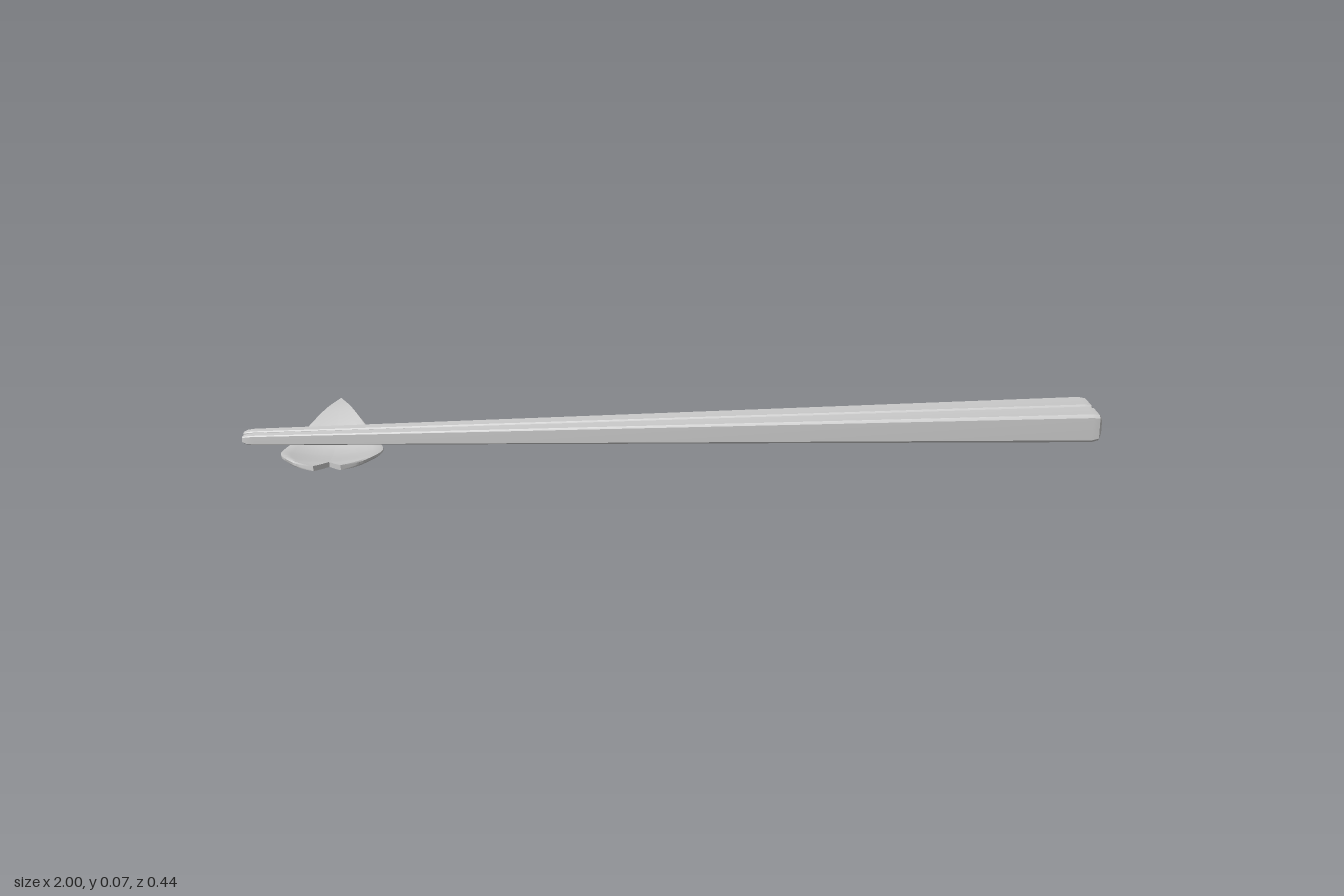
import * as THREE from 'three';
import { toCreasedNormals } from 'three/addons/utils/BufferGeometryUtils.js';

const material = new THREE.MeshStandardMaterial({ color: 0xcccccc });

// Skins a row of equal closed rings of [x, y, z] points, capping both ends
function loft(rings, crease, skipSeam = false) {
  const n = rings[0].length;
  const index = [];
  for (let i = 0; i < rings.length - 1; i++) {
    for (let k = 0; k < n; k++) {
      const k2 = (k + 1) % n;
      const a = i * n + k, b = a + n, c = (i + 1) * n + k2, d = i * n + k2;
      // No wall along the centre line where two mirrored halves meet
      const seam = [rings[i][k], rings[i][k2], rings[i + 1][k], rings[i + 1][k2]]
        .every((p) => Math.abs(p[0]) < 1e-4);
      if (!(skipSeam && seam)) index.push(a, b, c, a, c, d);
    }
  }
  const last = (rings.length - 1) * n;
  for (let k = 1; k < n - 1; k++) {
    index.push(0, k, k + 1, last, last + k + 1, last + k);
  }
  const geometry = new THREE.BufferGeometry();
  geometry.setAttribute('position', new THREE.Float32BufferAttribute(rings.flat(2), 3));
  geometry.setIndex(index);
  return toCreasedNormals(geometry, crease);
}

// Tapered square stick with chamfered edges and rounded-off ends
function chopstick(side) {
  const stations = [[-1, 0.55], [-0.99, 0.88], [-0.975, 1], [0.97, 1], [0.987, 0.9], [0.995, 0.55]];
  const rings = stations.map(([x, scale]) => {
    const t = (x + 1) / 2;
    const h = THREE.MathUtils.lerp(0.011, 0.035, t) * scale;
    const c = h * 0.8;
    const y = THREE.MathUtils.lerp(0.055, 0.037, t);
    const z = 0.022 + side * THREE.MathUtils.lerp(0.0145, 0.0355, t);
    return [[c, h], [-c, h], [-h, c], [-h, -c], [-c, -h], [c, -h], [h, -c], [h, c]]
      .map(([dz, dy]) => [x, y + dy, z + dz]);
  });
  return loft(rings, 0.35);
}

// Half of the cupped petal: x = half width, y = underside at the centre, z = along
function petalHalf() {
  const outline = [
    [0.001, 0.048, -0.22], [0.029, 0.046, -0.16], [0.057, 0.033, -0.1],
    [0.081, 0.014, -0.05], [0.102, 0.003, 0], [0.113, 0.005, 0.05],
    [0.114, 0.012, 0.09], [0.105, 0.021, 0.13], [0.091, 0.028, 0.16],
    [0.07, 0.033, 0.187], [0.03, 0.039, 0.215],
  ].map((p) => new THREE.Vector3(...p));
  const curve = new THREE.CatmullRomCurve3(outline);
  const steps = (outline.length - 1) * 4;
  const across = [0, 0.2, 0.4, 0.6, 0.8, 0.94, 1];
  const rings = [];
  for (let i = 0; i <= steps; i++) {
    const p = curve.getPoint(i / steps);
    // V-shaped notch at the wide end
    const inner = Math.max(0, (p.z - 0.16) / 0.055 * 0.03);
    const row = (top) => across.map((u) => {
      const x = THREE.MathUtils.lerp(inner, p.x, u);
      const inset = u === 1 ? 0.0035 : 0;
      const y = p.y + 1.3 * x * x + (top ? 0.012 - inset : inset);
      return [x, y, p.z];
    });
    rings.push([...row(true), ...row(false).reverse()]);
  }
  return loft(rings, 0.8, true);
}

// Mirrors a geometry in x and restores the face direction
function mirrorX(source) {
  const geometry = source.clone().scale(-1, 1, 1);
  for (const name of ['position', 'normal']) {
    const attr = geometry.getAttribute(name);
    const v = new THREE.Vector3(), w = new THREE.Vector3();
    for (let i = 0; i < attr.count; i += 3) {
      v.fromBufferAttribute(attr, i + 1);
      w.fromBufferAttribute(attr, i + 2);
      attr.setXYZ(i + 1, w.x, w.y, w.z);
      attr.setXYZ(i + 2, v.x, v.y, v.z);
    }
  }
  return geometry;
}

export function createModel() {
  const model = new THREE.Group();
  model.name = 'chopsticksOnRest';
  const add = (parent, name, geometry) => {
    const mesh = new THREE.Mesh(geometry, material);
    mesh.name = name;
    parent.add(mesh);
  };

  // Pair of sticks lying side by side
  add(model, 'frontChopstick', chopstick(1));
  add(model, 'backChopstick', chopstick(-1));

  // Petal-shaped rest under the thin ends
  const rest = new THREE.Group();
  rest.name = 'petalRest';
  rest.position.x = -0.795;
  const half = petalHalf();
  add(rest, 'leftPetalHalf', half);
  add(rest, 'rightPetalHalf', mirrorX(half));
  model.add(rest);

  return model;
}
